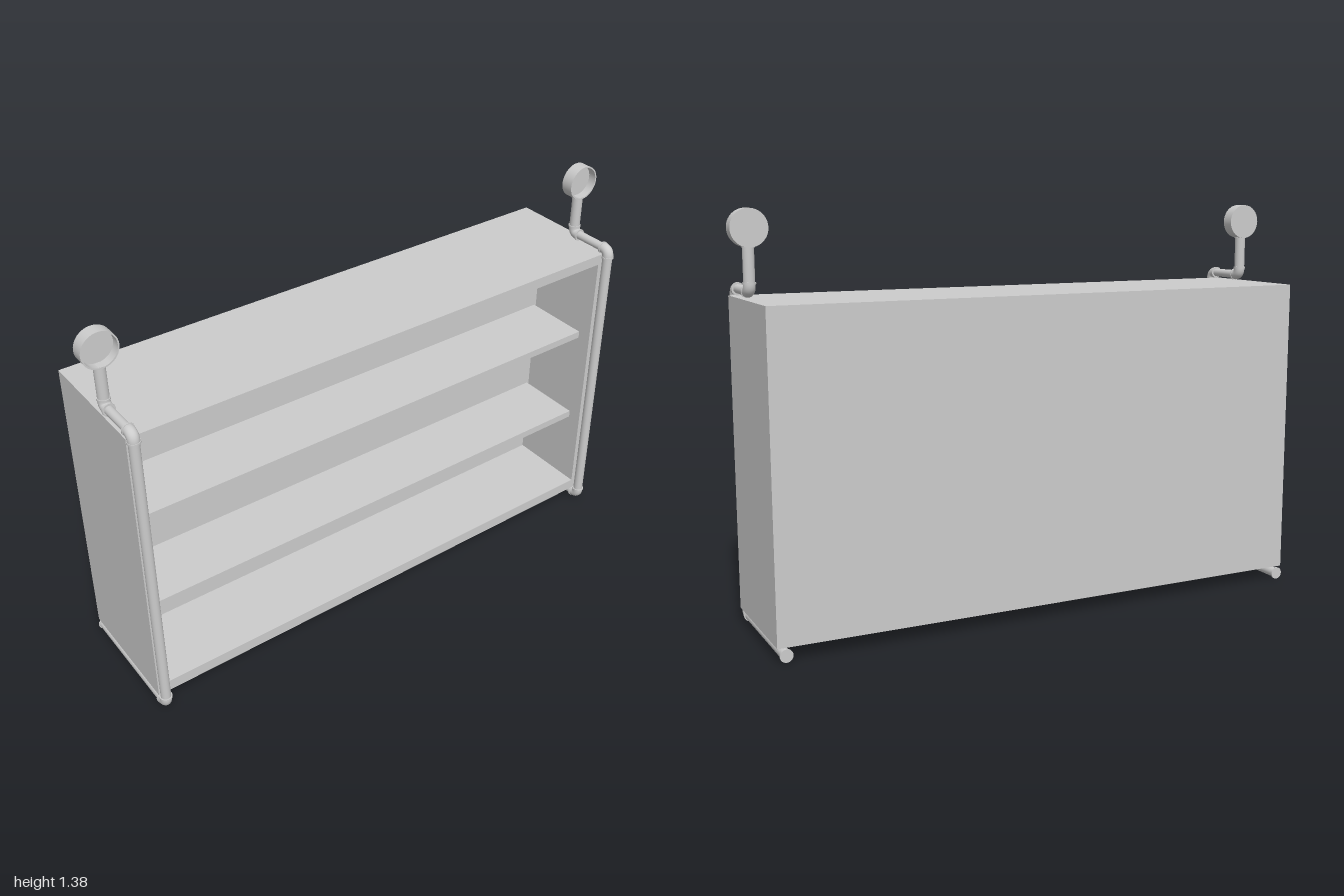
import * as THREE from 'three';

const material = new THREE.MeshStandardMaterial({ color: 0xcccccc, side: THREE.DoubleSide });

function add(parent, name, geometry) {
  const mesh = new THREE.Mesh(geometry, material);
  mesh.name = name;
  parent.add(mesh);
  return mesh;
}

// Box given by its minimum and maximum corners
function box(parent, name, [x0, y0, z0], [x1, y1, z1]) {
  add(parent, name, new THREE.BoxGeometry(x1 - x0, y1 - y0, z1 - z0))
    .position.set((x0 + x1) / 2, (y0 + y1) / 2, (z0 + z1) / 2);
}

// Straight round bar between two points
function bar(parent, name, a, b, radius) {
  const dir = b.clone().sub(a);
  const mesh = add(parent, name, new THREE.CylinderGeometry(radius, radius, dir.length(), 24));
  mesh.position.copy(a).lerp(b, 0.5);
  mesh.quaternion.setFromUnitVectors(new THREE.Vector3(0, 1, 0), dir.normalize());
}

function createCabinet() {
  const cabinet = new THREE.Group();
  cabinet.name = 'cabinet';
  const back = -0.24, inner = -0.09, front = 0.2;
  const low = 0.055, high = 1.105, zMin = -0.968, zMax = 0.956, zIn = 0.915;
  box(cabinet, 'backPanel', [back, low, zMin], [inner, high, zMax]);
  box(cabinet, 'leftSide', [inner, low, zIn], [front, high, zMax]);
  box(cabinet, 'rightSide', [inner, low, zMin], [front, high, -zIn]);
  box(cabinet, 'bottomPanel', [inner, low, -zIn], [front, 0.095, zIn]);
  box(cabinet, 'topPanel', [inner, 1.068, -zIn], [front, high, zIn]);
  for (const y of [0.385, 0.745]) {
    box(cabinet, 'shelf', [inner, y, -0.906], [0.156, y + 0.026, 0.906]);
  }
  return cabinet;
}

function createPipeFrame(z) {
  const frame = new THREE.Group();
  frame.name = 'pipeFrame';
  frame.position.z = z;

  // Pipe route from the rear foot up to the round cup
  const path = [[-0.24, 0.028], [0.217, 0.028], [0.217, 1.126], [0.043, 1.126], [0.043, 1.27]]
    .map(([x, y]) => new THREE.Vector3(x, y, 0));
  const radii = [0.0175, 0.0175, 0.015, 0.0185];
  const bend = 0.024;
  const toward = (a, b, d) => a.clone().add(b.clone().sub(a).setLength(d));

  for (let i = 0; i < path.length - 1; i++) {
    const a = path[i], b = path[i + 1];
    const start = i > 0 ? toward(a, b, bend) : a;
    const end = i < path.length - 2 ? toward(b, a, bend) : b;
    bar(frame, 'pipe', start, end, radii[i]);
    // Collars where the pipe meets its fittings
    bar(frame, 'collar', start, toward(start, end, 0.006), 0.0215);
    bar(frame, 'collar', toward(end, start, 0.006), end, 0.0215);
    // Rounded elbow to the next pipe
    if (i < path.length - 2) {
      const curve = new THREE.QuadraticBezierCurve3(end, b, toward(b, path[i + 2], bend));
      add(frame, 'elbow', new THREE.TubeGeometry(curve, 10, 0.0195, 24));
    }
  }

  // Shallow round cup, open toward the shelf side
  const profile = [[0, 0], [0.061, 0], [0.061, 0], [0.061, 0.044], [0.061, 0.044],
    [0.056, 0.044], [0.056, 0.044], [0.056, 0.014], [0.056, 0.014], [0, 0.014]]
    .map(([r, h]) => new THREE.Vector2(r, h));
  for (let i = 0; i < profile.length; i += 2) {
    const next = profile[i + 1];
    const cup = add(frame, 'cup', new THREE.LatheGeometry([profile[i], next], 40));
    cup.rotation.z = -Math.PI / 2;
    cup.position.set(0.021, 1.325, 0);
  }
  return frame;
}

export function createModel() {
  const model = new THREE.Group();
  model.name = 'shelfCabinet';
  model.add(createCabinet());
  for (const z of [-0.939, 0.939]) model.add(createPipeFrame(z));
  return model;
}
